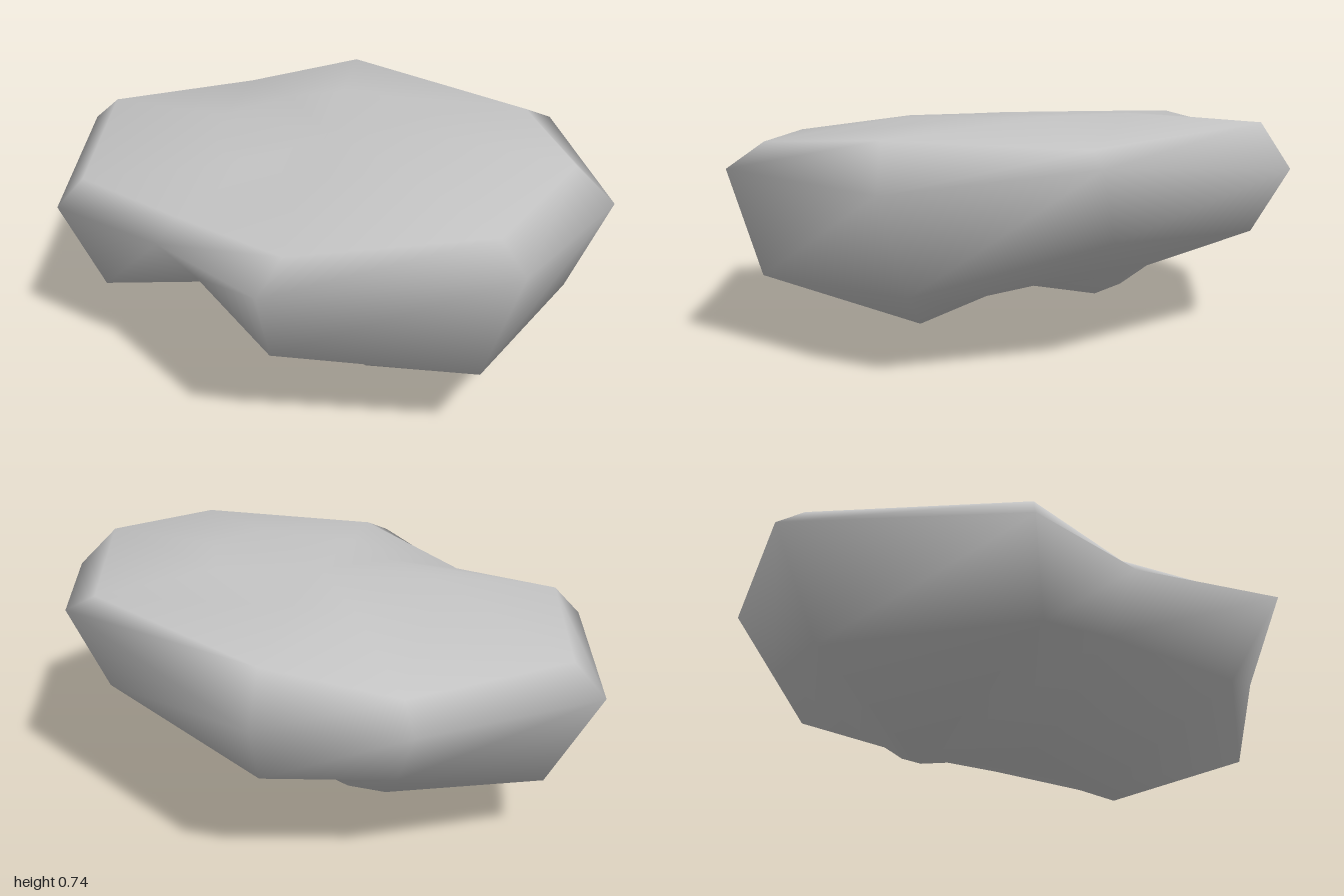
import * as THREE from 'three';

// Rings of the stone as [x, y, z], each starting at the back and going clockwise from above

// Soft shoulder around the top
const SHOULDER = [
  [0.2, 0.69, -0.72], [0.72, 0.722, -0.42], [0.88, 0.675, 0.05], [0.54, 0.63, 0.56], [0.04, 0.58, 0.61],
  [-0.35, 0.605, 0.73], [-0.9, 0.63, 0.31], [-0.82, 0.615, -0.24], [-0.58, 0.7, -0.57],
];

// Widest outline
const RIM = [
  [0.23, 0.65, -0.81], [0.79, 0.59, -0.53], [1, 0.6, 0.06], [0.6, 0.565, 0.69], [0.04, 0.51, 0.685],
  [-0.39, 0.51, 0.81], [-1, 0.54, 0.35], [-0.91, 0.54, -0.27], [-0.65, 0.55, -0.64],
];

// Lower edge of the sides
const LOWER = [
  [0.12, 0.41, -0.72], [0.665, 0.27, -0.47], [0.88, 0.245, 0.1], [0.48, 0.285, 0.57], [0.02, 0.34, 0.54],
  [-0.3, 0.235, 0.7], [-0.83, 0.21, 0.29], [-0.78, 0.34, -0.23], [-0.56, 0.34, -0.56],
];

// Underside with two feet and a notch between them
const UNDERSIDE = [
  [0.1, 0.2, -0.32], [0.4, 0.155, -0.23], [0.33, 0, 0.09], [0.3, 0.045, 0.14], [0, 0.105, 0.23],
  [-0.32, 0.05, 0.12], [-0.36, 0.02, 0.03], [-0.36, 0.09, -0.12], [-0.25, 0.16, -0.24],
];

// Gently tilted top
const TOP = RIM.map(([x, , z]) => [0.42 * x, 0.705 + 0.017 * x - 0.038 * z, 0.42 * z]);

function stoneGeometry() {
  const rings = [TOP, SHOULDER, RIM, LOWER, UNDERSIDE];
  const points = [...rings.flat(), [0, 0.705, 0], [0, 0.115, 0]];
  const n = RIM.length;
  const top = points.length - 2;
  const bottom = points.length - 1;
  const last = (rings.length - 1) * n;
  const index = [];
  for (let i = 0; i < n; i++) {
    const j = (i + 1) % n;
    index.push(top, j, i);
    for (let r = 0; r < last; r += n) {
      index.push(r + i, r + j, r + n + j, r + i, r + n + j, r + n + i);
    }
    index.push(last + i, last + j, bottom);
  }
  const geometry = new THREE.BufferGeometry();
  geometry.setAttribute('position', new THREE.Float32BufferAttribute(points.flat(), 3));
  geometry.setIndex(index);
  geometry.computeVertexNormals();
  return geometry;
}

export function createModel() {
  const group = new THREE.Group();
  group.name = 'rock';
  const material = new THREE.MeshStandardMaterial({ color: 0xc4c4c4 });
  material.name = 'stone grey';
  const stone = new THREE.Mesh(stoneGeometry(), material);
  stone.name = 'stone';
  group.add(stone);
  return group;
}
